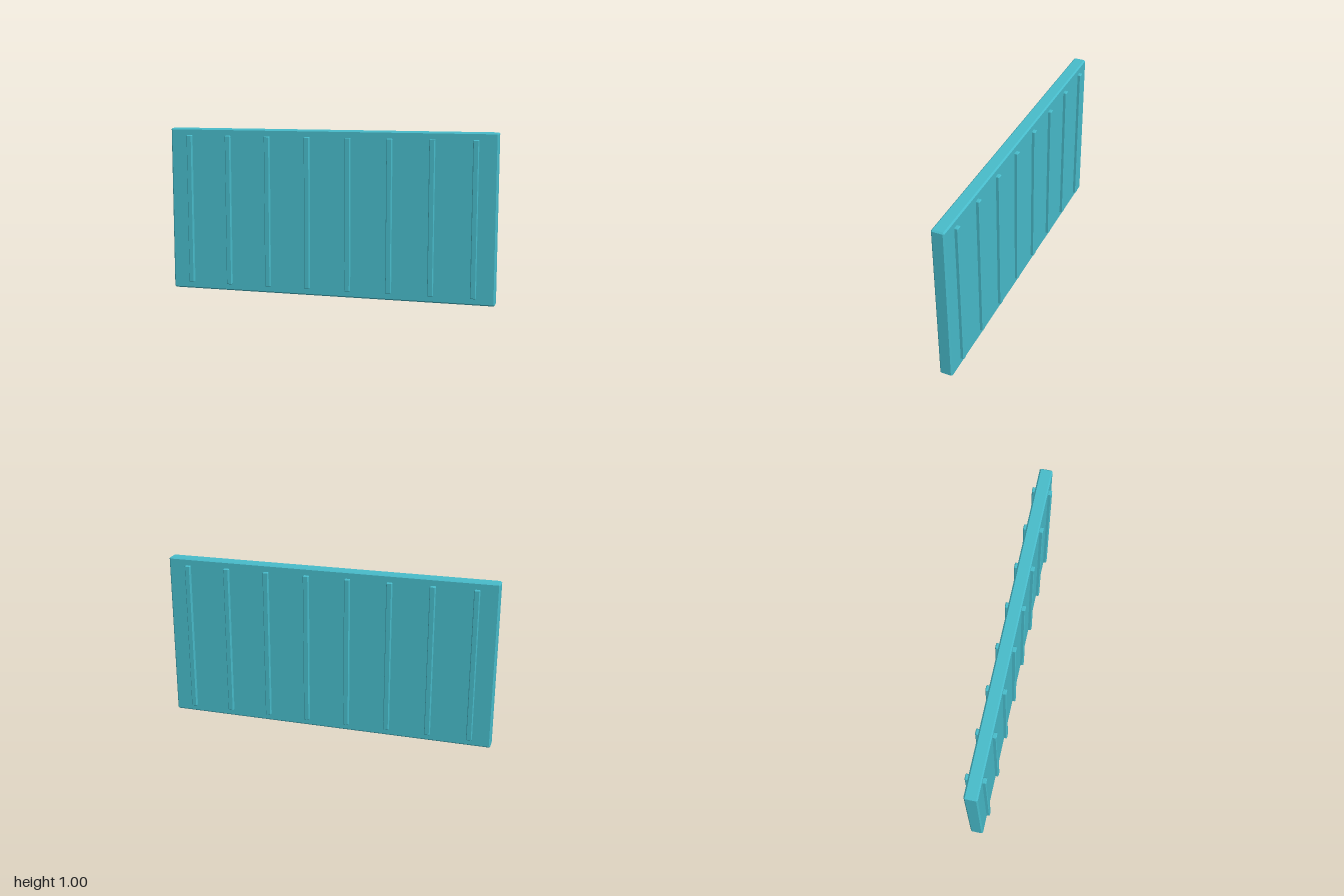
import * as THREE from 'three';
import { ConvexGeometry } from 'three/addons/geometries/ConvexGeometry.js';

// Box with every edge chamfered by c: each corner becomes three points
function chamferedBox(w, h, d, c) {
  const points = [];
  for (const sx of [-1, 1]) for (const sy of [-1, 1]) for (const sz of [-1, 1]) {
    const x = w / 2, y = h / 2, z = d / 2;
    points.push(
      new THREE.Vector3(sx * x, sy * (y - c), sz * (z - c)),
      new THREE.Vector3(sx * (x - c), sy * y, sz * (z - c)),
      new THREE.Vector3(sx * (x - c), sy * (y - c), sz * z)
    );
  }
  return new ConvexGeometry(points);
}

export function createModel() {
  const group = new THREE.Group();
  const material = new THREE.MeshStandardMaterial({ color: 0x48bccb, flatShading: true });

  // Main slab
  const panel = new THREE.Mesh(chamferedBox(2, 1, 0.077, 0.008), material);
  panel.name = 'panel';
  panel.position.y = 0.5;
  group.add(panel);

  // Eight upright ribs on each face, sunk into the slab
  const ribGeometry = chamferedBox(0.033, 0.917, 0.04, 0.004);
  for (const side of [1, -1]) {
    for (let i = 0; i < 8; i++) {
      const rib = new THREE.Mesh(ribGeometry, material);
      rib.name = side > 0 ? 'frontRib' : 'backRib';
      rib.position.set(-0.875 + i * 0.25, 0.5, side * 0.0385);
      group.add(rib);
    }
  }
  return group;
}
